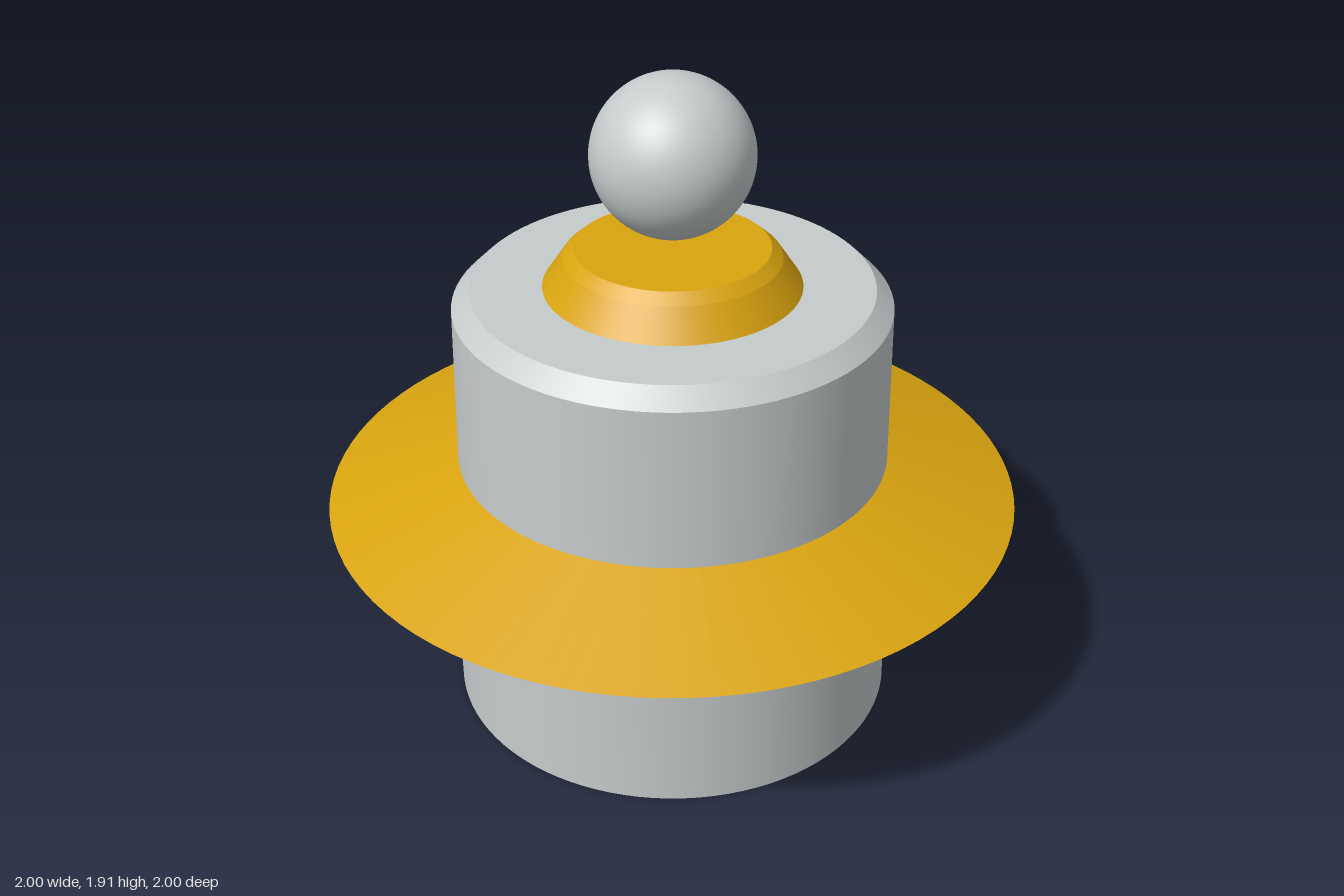
import * as THREE from 'three';

const SIDES = 96;

export function createModel() {
  const model = new THREE.Group();
  model.name = 'ringedTower';

  const grey = new THREE.MeshStandardMaterial({ color: 0xc6cbcb });
  grey.name = 'light grey';
  const gold = new THREE.MeshStandardMaterial({ color: 0xd9a40f });
  gold.name = 'gold';

  function add(name, geometry, material) {
    const mesh = new THREE.Mesh(geometry, material);
    mesh.name = name;
    model.add(mesh);
    return mesh;
  }

  // Open cone band between two heights; separate bands keep the edges crisp
  function band(name, y0, r0, y1, r1, material) {
    const geometry = new THREE.CylinderGeometry(r1, r0, y1 - y0, SIDES, 1, true);
    geometry.translate(0, (y0 + y1) / 2, 0);
    return add(name, geometry, material);
  }

  // Flat disc facing up or down
  function disc(name, y, r, material, up = true) {
    const geometry = new THREE.CircleGeometry(r, SIDES);
    geometry.rotateX(up ? -Math.PI / 2 : Math.PI / 2);
    geometry.translate(0, y, 0);
    return add(name, geometry, material);
  }

  // Lower drum, leaning slightly to the back
  const drum = band('lowerDrum', 0, 0.648, 0.522, 0.648, grey);
  const pos = drum.geometry.attributes.position;
  for (let i = 0; i < pos.count; i++) pos.setZ(i, pos.getZ(i) - 0.024 * pos.getY(i));
  disc('base', 0, 0.648, grey, false);

  // Sharp-edged ring
  band('ringUnderside', 0.522, 0.648, 0.647, 0.998, gold).geometry.translate(0, 0, -0.003);
  band('ringTop', 0.647, 0.998, 0.78, 0.62, gold).geometry.translate(0, 0, -0.003);

  // Upper drum with a bevelled shoulder
  band('upperDrum', 0.775, 0.622, 1.253, 0.616, grey);
  band('shoulder', 1.253, 0.616, 1.304, 0.565, grey);
  disc('upperDeck', 1.304, 0.565, grey);

  // Stepped cap
  band('capSlope', 1.303, 0.363, 1.39, 0.305, gold);
  band('capBevel', 1.39, 0.305, 1.418, 0.273, gold);
  disc('capTop', 1.418, 0.273, gold);

  // Floating ball
  add('ball', new THREE.SphereGeometry(0.227, 64, 40), grey).position.y = 1.687;

  return model;
}
